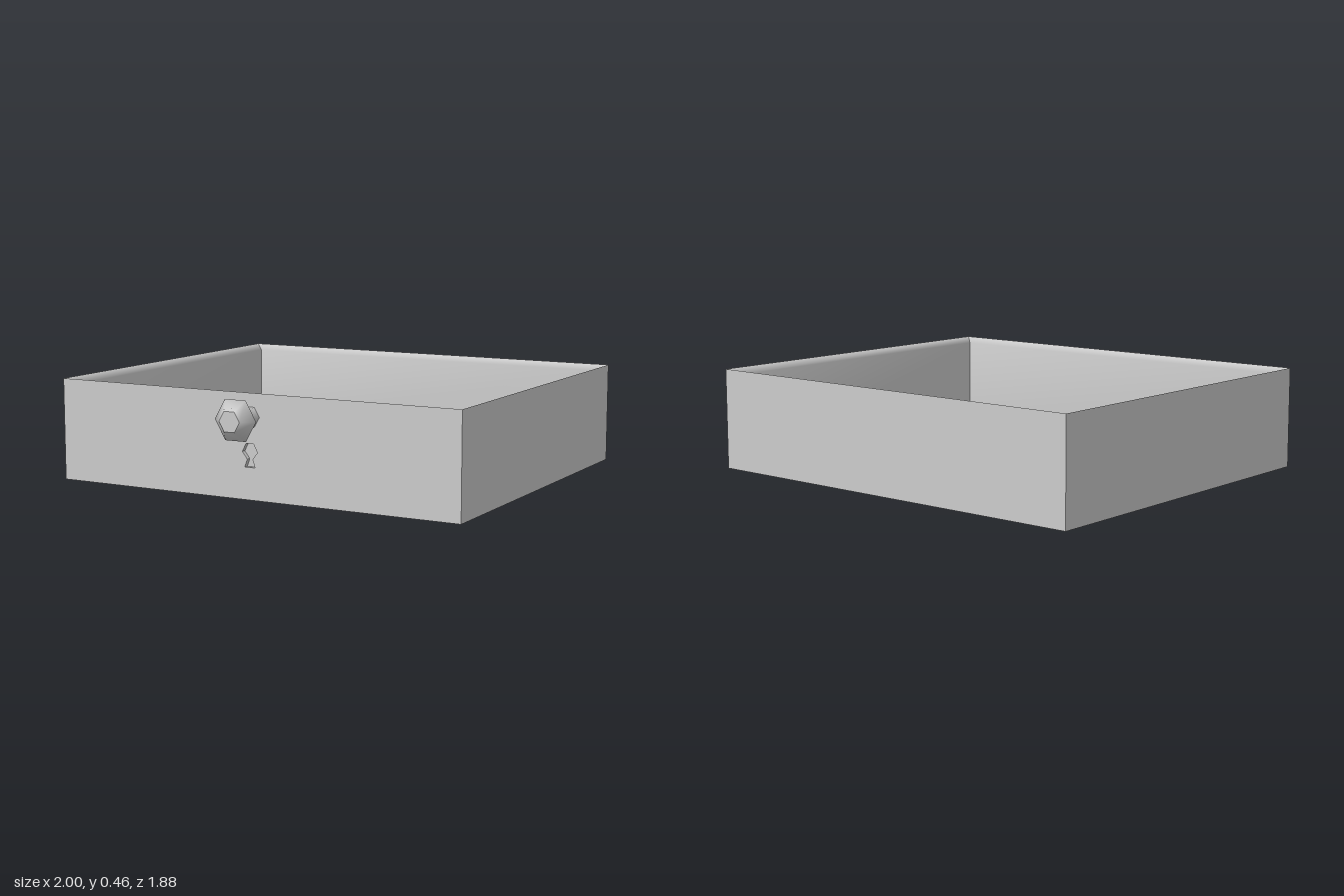
import * as THREE from 'three';

const material = new THREE.MeshStandardMaterial({ color: 0xcccccc });
const HEIGHT = 0.463, RIM = 0.437, FLOOR = 0.02;

// Corners [x, z], in order: back right, back left, front left, front right
const outer = [[-0.99, -0.94], [1, -0.9], [0.985, 0.797], [-1, 0.756]];
const inner = [[-0.945, -0.895], [0.95, -0.86], [0.938, 0.753], [-0.953, 0.714]];

// Band of quads between successive rows of equally many points
function strip(name, rows) {
  const n = rows[0].length, index = [];
  for (let r = 0; r < rows.length - 1; r++) {
    for (let i = 0; i < n - 1; i++) {
      const a = r * n + i, b = a + n;
      index.push(a, b, a + 1, a + 1, b, b + 1);
    }
  }
  const g = new THREE.BufferGeometry();
  g.setAttribute('position', new THREE.Float32BufferAttribute(rows.flat(2), 3));
  g.setIndex(index);
  g.computeVertexNormals();
  return mesh(name, g);
}

function mesh(name, geometry, mat = material) {
  const m = new THREE.Mesh(geometry, mat);
  m.name = name;
  return m;
}

const at = ([x, z], y) => [x, y, z];

export function createModel() {
  const model = new THREE.Group();
  model.name = 'drawer';
  const sides = ['back', 'left', 'front', 'right'];

  // Walls: plain outside, inside with a sloping rim
  sides.forEach((side, i) => {
    const j = (i + 1) % 4;
    model.add(strip(side + 'InnerWall', [
      [at(outer[i], HEIGHT), at(outer[j], HEIGHT)],
      [at(inner[i], RIM), at(inner[j], RIM)],
      [at(inner[i], FLOOR), at(inner[j], FLOOR)],
    ]));
    if (side !== 'front') {
      model.add(strip(side + 'OuterWall', [
        [at(outer[j], HEIGHT), at(outer[i], HEIGHT)],
        [at(outer[j], 0), at(outer[i], 0)],
      ]));
    }
  });

  // Drawer floor and underside
  model.add(strip('floor', [
    [at(inner[0], FLOOR), at(inner[1], FLOOR)],
    [at(inner[3], FLOOR), at(inner[2], FLOOR)],
  ]));
  model.add(strip('underside', [
    [at(outer[3], 0), at(outer[2], 0)],
    [at(outer[0], 0), at(outer[1], 0)],
  ]));

  // Front panel, turned to follow the slightly skewed front edge
  const [, , fr, fl] = outer;
  const dx = fr[0] - fl[0], dz = fr[1] - fl[1], half = Math.hypot(dx, dz) / 2;
  const front = new THREE.Group();
  front.name = 'frontPanel';
  front.position.set((fr[0] + fl[0]) / 2, 0, (fr[1] + fl[1]) / 2);
  front.rotation.y = -Math.atan2(dz, dx);

  // Keyhole outline: hexagonal head over a flared foot
  const keyhole = [
    [-0.026, 0.142], [0.026, 0.142], [0.013, 0.177], [0.038, 0.208],
    [0.019, 0.244], [-0.019, 0.244], [-0.038, 0.208], [-0.013, 0.177],
  ].map(([x, y]) => new THREE.Vector2(x, y));
  const panel = new THREE.Shape([
    new THREE.Vector2(-half, 0), new THREE.Vector2(half, 0),
    new THREE.Vector2(half, HEIGHT), new THREE.Vector2(-half, HEIGHT),
  ]);
  panel.holes.push(new THREE.Path(keyhole));
  front.add(mesh('frontOuterWall', new THREE.ShapeGeometry(panel)));

  // Shallow keyhole pocket
  const DEPTH = 0.02;
  const pocketBack = mesh('keyholeBack', new THREE.ShapeGeometry(new THREE.Shape(keyhole)));
  pocketBack.position.z = -DEPTH;
  front.add(pocketBack);
  keyhole.forEach((p, i) => {
    const q = keyhole[(i + 1) % keyhole.length];
    front.add(strip('keyholeSide', [
      [[p.x, p.y, -DEPTH], [q.x, q.y, -DEPTH]],
      [[p.x, p.y, 0], [q.x, q.y, 0]],
    ]));
  });
  model.add(front);

  // Six-sided knob on a short neck, axis pointing forward
  const knob = new THREE.Group();
  knob.name = 'knob';
  knob.position.set(-0.008, 0.36, 0.77);
  knob.rotation.set(Math.PI / 2, 0, 0);
  const profile = [[0.05, 0], [0.043, 0.055], [0.101, 0.12], [0.05, 0.17]];
  knob.add(mesh('knobBody', new THREE.LatheGeometry(
    profile.map(([r, y]) => new THREE.Vector2(r, y)), 6, Math.PI / 6 + Math.PI / 3)));
  const cap = mesh('knobFace', new THREE.CircleGeometry(0.05, 6));
  cap.rotation.x = -Math.PI / 2;
  cap.position.y = 0.17;
  knob.add(cap);
  model.add(knob);

  return model;
}
